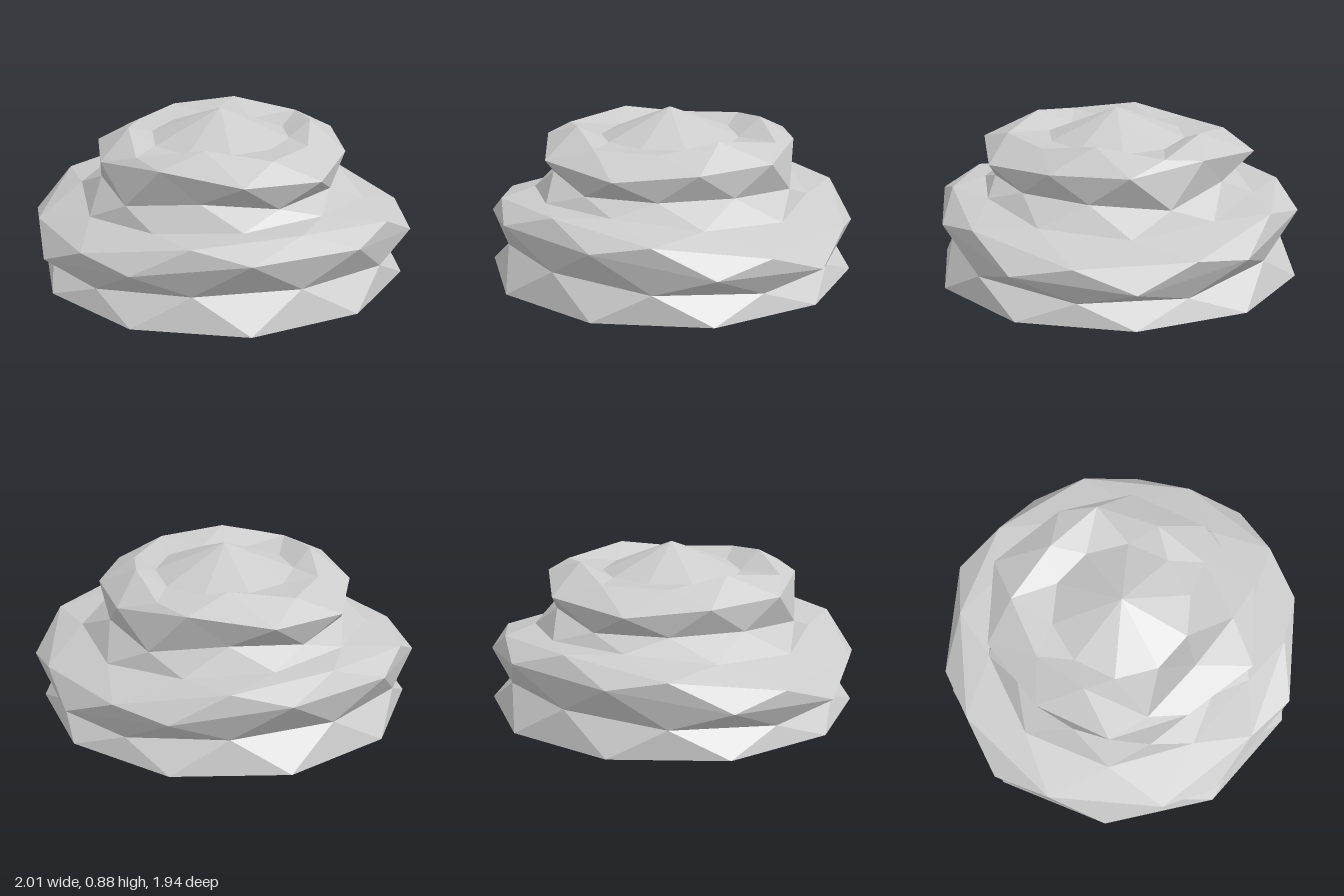
import * as THREE from 'three';

const SIDES = 10;

// Stacked rings, bottom to top: five radii and five heights, repeated on the opposite half.
const RINGS = [
  { r: [0.98, 0.99, 0.98, 0.98, 0.98], y: [0, 0, 0, 0, 0] },                  // ground edge
  { r: [0.91, 0.93, 0.89, 0.88, 0.89], y: [0.11, 0.15, 0.18, 0.17, 0.11] },   // waist
  { r: [1.02, 1.03, 0.98, 0.98, 0.98], y: [0.20, 0.25, 0.35, 0.37, 0.28] },   // lower bulge
  { r: [0.98, 0.96, 0.88, 0.91, 0.98], y: [0.31, 0.40, 0.46, 0.43, 0.33] },   // shoulder
  { r: [0.76, 0.77, 0.73, 0.74, 0.74], y: [0.39, 0.42, 0.46, 0.45, 0.42] },   // crease
  { r: [0.64, 0.64, 0.65, 0.63, 0.68], y: [0.53, 0.53, 0.52, 0.56, 0.50] },   // neck
  { r: [0.69, 0.67, 0.72, 0.74, 0.66], y: [0.68, 0.67, 0.64, 0.68, 0.72] },   // upper bulge
  { r: [0.49, 0.51, 0.58, 0.50, 0.60], y: [0.79, 0.74, 0.75, 0.80, 0.74] },   // rim
  { r: [0.38, 0.37, 0.37, 0.37, 0.37], y: [0.72, 0.73, 0.73, 0.73, 0.72] },   // hollow
];

// Every other ring is turned half a step, so each band is a row of triangles.
function ringPoint(i, k) {
  const { r, y } = RINGS[i];
  const a = THREE.MathUtils.degToRad(10 + 36 * k + (i % 2) * 18);
  return new THREE.Vector3(Math.cos(a) * r[k % 5], y[k % 5], Math.sin(a) * r[k % 5]);
}

function facetMesh(name, triangles, material) {
  const geometry = new THREE.BufferGeometry().setFromPoints(triangles);
  geometry.computeVertexNormals();
  const mesh = new THREE.Mesh(geometry, material);
  mesh.name = name;
  return mesh;
}

// Band of triangles through rings first..last
function band(first, last) {
  const tris = [];
  for (let i = first; i < last; i++) {
    const s = i % 2;
    for (let k = 0; k < SIDES; k++) {
      const a = ringPoint(i, k), b = ringPoint(i, k + 1);
      const c = ringPoint(i + 1, k + s), d = ringPoint(i + 1, k + s + 1);
      tris.push(a, c, b, b, c, d);
    }
  }
  return tris;
}

// Fan closing a ring to a centre point, facing up or down
function fan(i, centreY, up) {
  const tris = [];
  const centre = new THREE.Vector3(0, centreY, 0);
  for (let k = 0; k < SIDES; k++) {
    const a = ringPoint(i, k), b = ringPoint(i, k + 1);
    tris.push(...(up ? [a, centre, b] : [a, b, centre]));
  }
  return tris;
}

export function createModel() {
  const group = new THREE.Group();
  group.name = 'layeredMound';
  const grey = new THREE.MeshStandardMaterial({ color: 0xcccccc });
  grey.name = 'light grey';
  grey.flatShading = true;

  group.add(
    facetMesh('underside', fan(0, 0, false), grey),
    facetMesh('foot', band(0, 1), grey),
    facetMesh('lowerLayer', band(1, 4), grey),
    facetMesh('upperLayer', band(4, 8), grey),
    facetMesh('topPeak', fan(8, 0.88, true), grey),
  );
  return group;
}
